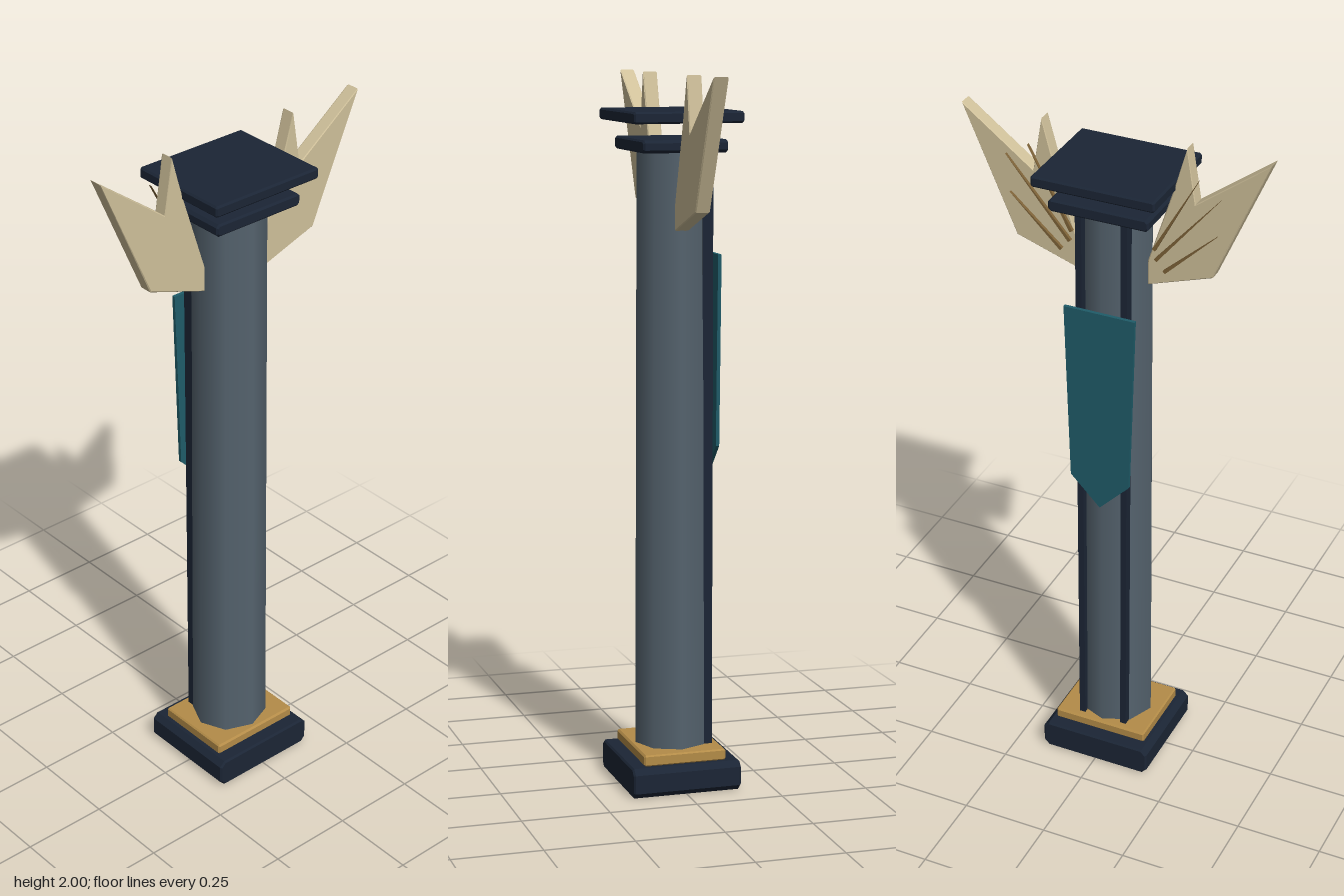
import * as THREE from 'three';

const mat = (color) => new THREE.MeshStandardMaterial({ color });
const stone = mat(0x55636e), navy = mat(0x1b2535), gold = mat(0xb48c48);
const ivory = mat(0xcfc09a), teal = mat(0x1f5c69), bronze = mat(0x7d6238);

export function createModel() {
  const model = new THREE.Group();
  const add = (name, geo, material, parent = model) => {
    const mesh = new THREE.Mesh(geo, material);
    mesh.name = name;
    parent.add(mesh);
    return mesh;
  };

  // Flat outline extruded between two depths, with an optional small bevel
  const plate = (points, z0, z1, bevel = 0) => {
    const shape = new THREE.Shape(points.map(([x, y]) => new THREE.Vector2(x, y)));
    const geo = new THREE.ExtrudeGeometry(shape, {
      depth: z1 - z0 - 2 * bevel, bevelEnabled: bevel > 0, bevelSize: bevel,
      bevelThickness: bevel, bevelOffset: -bevel, bevelSegments: 1,
    });
    return geo.translate(0, 0, z0 + bevel);
  };

  // Slab with chamfered corners, c is the chamfer size
  const slab = (name, w, d, y0, y1, c, material) => add(name, plate([
    [-w + c, y0], [w - c, y0], [w, y0 + c], [w, y1 - c],
    [w - c, y1], [-w + c, y1], [-w, y1 - c], [-w, y0 + c],
  ], -d, d, 0.005), material);

  slab('base', 0.167, 0.157, 0, 0.085, 0.016, navy);
  slab('baseCollar', 0.142, 0.12, 0.085, 0.117, 0.004, gold);
  slab('capital', 0.144, 0.12, 1.79, 1.825, 0.008, navy);
  slab('topSlab', 0.176, 0.155, 1.87, 1.902, 0.005, navy);

  // Slightly tapered eight-sided shaft
  const shaft = new THREE.CylinderGeometry(0.103, 0.111, 1.69, 8);
  add('shaft', shaft.scale(1, 1, 0.95), stone).position.y = 0.95;

  // Dark ribs on the back
  for (const s of [-1, 1]) {
    add('backRib', new THREE.BoxGeometry(0.018, 1.68, 0.03), navy)
      .position.set(s * 0.066, 0.955, -0.084);
  }

  // Pointed banner hanging on the back
  add('banner', plate([
    [0, 0.885], [0.088, 0.975], [0.104, 1.51], [-0.104, 1.51], [-0.088, 0.975],
  ], -0.114, -0.104), teal);

  // Wings with thin feather lines on their back faces
  const wing = [[0.1, 1.577], [0.285, 1.64], [0.44, 2], [0.233, 1.845],
    [0.207, 2], [0.17, 1.87], [0.1, 1.65]];
  const feathers = [[0.12, 1.69, 0.245, 1.92], [0.125, 1.66, 0.31, 1.88], [0.15, 1.63, 0.3, 1.77]];
  for (const s of [-1, 1]) {
    const group = new THREE.Group();
    group.name = s > 0 ? 'leftWing' : 'rightWing';
    model.add(group);
    const mirror = (pts) => (s > 0 ? pts : pts.map(([x, y]) => [-x, y]).reverse());
    add('wingBlade', plate(mirror(wing), -0.022, 0.019, 0.003), ivory, group);
    for (const [x0, y0, x1, y1] of feathers) {
      const len = Math.hypot(x1 - x0, y1 - y0);
      const nx = -(y1 - y0) / len * 0.005, ny = (x1 - x0) / len * 0.005;
      add('featherLine', plate(mirror([
        [x0 - nx, y0 - ny], [x1, y1], [x0 + nx, y0 + ny],
      ]), -0.031, -0.02), bronze, group);
    }
  }
  return model;
}
